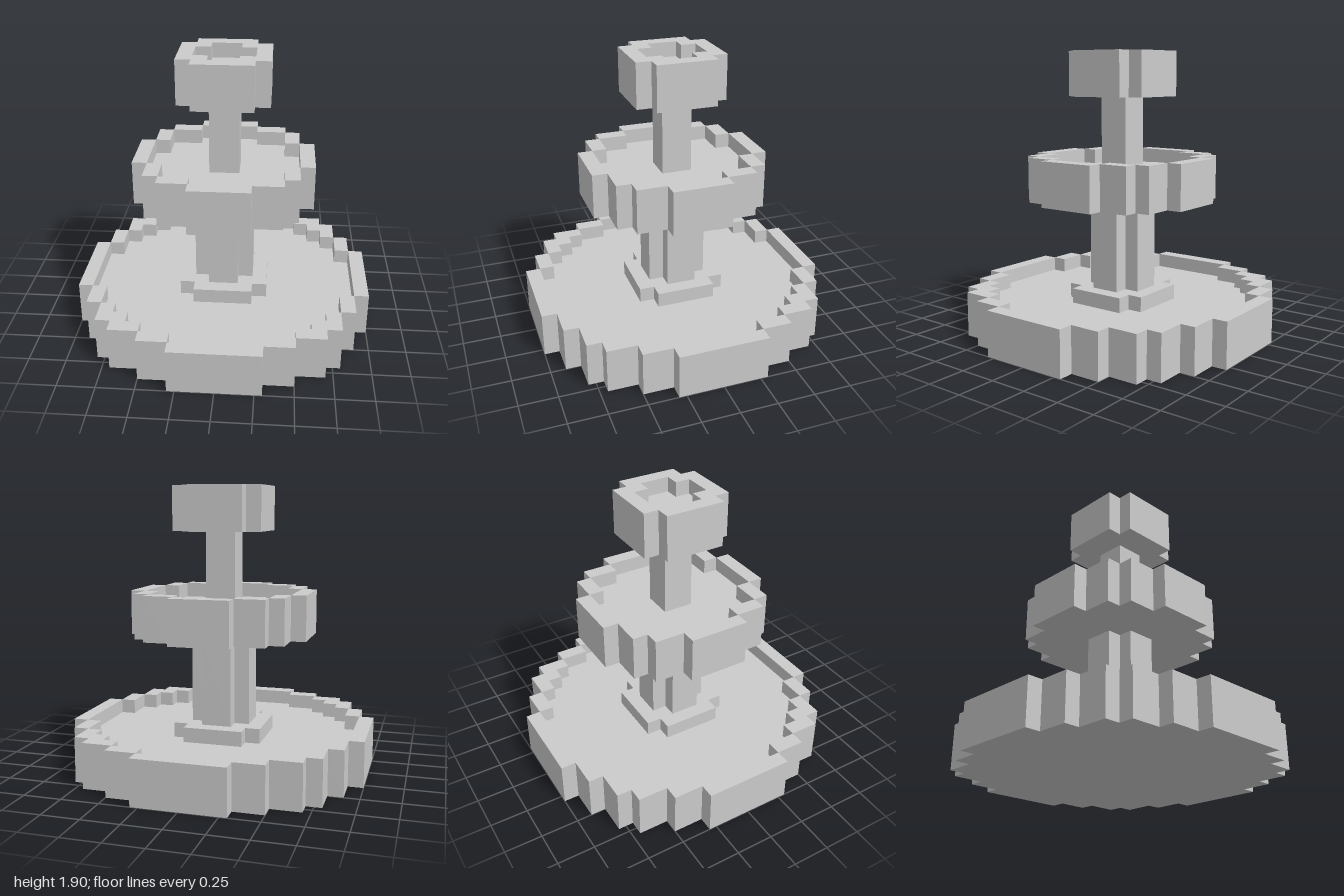
import * as THREE from 'three';

const material = new THREE.MeshStandardMaterial({ color: 0xcccccc, flatShading: true });

// Outer stair corners of one quadrant, running from the z axis round to the x axis
const BASE_OUTER = [[0.3, 1], [0.5, 0.9], [0.7, 0.8], [0.8, 0.7], [0.9, 0.5], [1, 0.3]];
const BASE_INNER = [[0.3, 0.9], [0.5, 0.8], [0.6, 0.7], [0.7, 0.6], [0.8, 0.5], [0.9, 0.3]];
const BOWL_OUTER = [[0.2, 0.6], [0.4, 0.5], [0.5, 0.4], [0.6, 0.2]];
const BOWL_INNER = [[0.2, 0.5], [0.4, 0.4], [0.5, 0.2]];
const CROSS_LARGE = [[0.2, 0.3], [0.3, 0.2]];
const CROSS_SMALL = [[0.1, 0.2], [0.2, 0.1]];
const SQUARE = [[0.1, 0.1]];

// Full stepped outline: fill in the inner stair corners, then turn the quadrant four times.
// Reversed to run counter-clockwise, so that walls and holes both face the open side.
function outline(corners) {
  let quadrant = [];
  corners.forEach(([x, z], i) => {
    if (i > 0) quadrant.push([corners[i - 1][0], z]);
    quadrant.push([x, z]);
  });
  const points = [];
  for (let turn = 0; turn < 4; turn++) {
    points.push(...quadrant.map(([x, z]) => new THREE.Vector2(x, z)));
    quadrant = quadrant.map(([x, z]) => [z, -x]);
  }
  return points.reverse();
}

// Upright stepped prism from y0 to y1, with an optional stepped hole
function prism(name, y0, y1, outer, inner) {
  const shape = new THREE.Shape(outline(outer));
  if (inner) shape.holes.push(new THREE.Path(outline(inner)));
  const geometry = new THREE.ExtrudeGeometry(shape, { depth: y1 - y0, bevelEnabled: false });
  geometry.rotateX(-Math.PI / 2);
  geometry.translate(0, y0, 0);
  const mesh = new THREE.Mesh(geometry, material);
  mesh.name = name;
  return mesh;
}

// Basin: a wall ring around a sunken floor
function basin(name, bottom, floor, rim, outer, inner) {
  const group = new THREE.Group();
  group.name = name;
  group.add(
    prism(name + 'Wall', bottom, rim, outer, inner),
    prism(name + 'Floor', bottom, floor, inner)
  );
  return group;
}

export function createModel() {
  const fountain = new THREE.Group();
  fountain.name = 'fountain';
  fountain.add(
    basin('lowerBasin', 0, 0.2, 0.3, BASE_OUTER, BASE_INNER),
    prism('columnCollar', 0.2, 0.3, CROSS_LARGE),
    prism('lowerColumn', 0.3, 0.9, CROSS_SMALL),
    basin('middleBasin', 0.9, 1.1, 1.2, BOWL_OUTER, BOWL_INNER),
    prism('upperColumn', 1.1, 1.6, SQUARE),
    basin('topBasin', 1.6, 1.8, 1.9, CROSS_LARGE, CROSS_SMALL)
  );
  return fountain;
}
